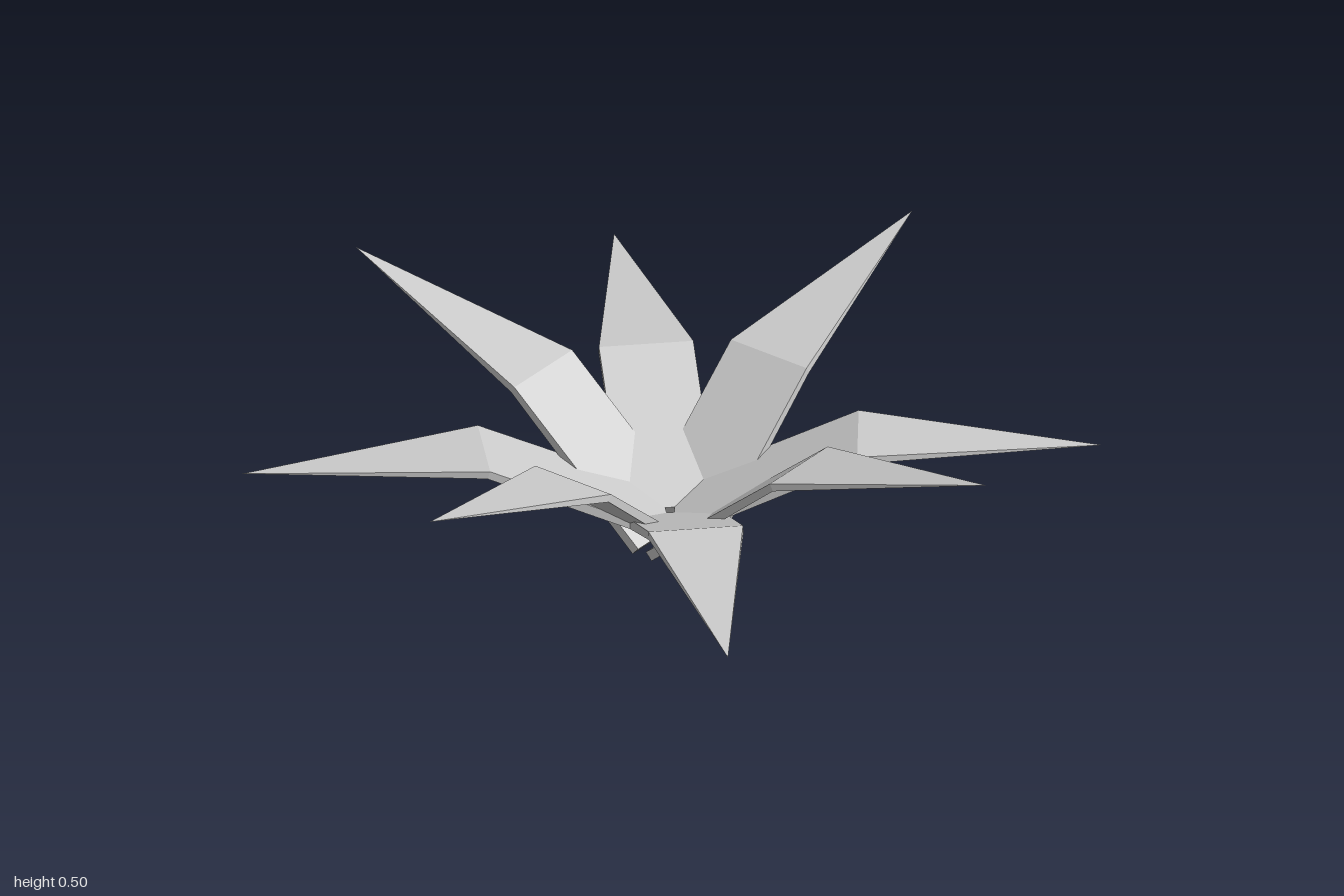
import * as THREE from 'three';

const material = new THREE.MeshStandardMaterial({ color: 0xcccccc, flatShading: true });
const HALF_WIDTH = 0.12;

// A bent, pointed leaf growing along +z. Each section is
// [bottom z, bottom y, top z, top y]; the last section closes on the tip.
function leafGeometry(base, fold, tip) {
  const positions = [];
  for (const [bz, by, tz, ty] of [base, fold]) {
    positions.push(
      -HALF_WIDTH, by, bz, HALF_WIDTH, by, bz,
      HALF_WIDTH, ty, tz, -HALF_WIDTH, ty, tz);
  }
  positions.push(0, tip[1], tip[0]);

  const index = [0, 3, 2, 0, 2, 1]; // base end
  for (let i = 0; i < 4; i++) {
    const j = (i + 1) % 4;
    index.push(i, j, j + 4, i, j + 4, i + 4); // stem section
    index.push(i + 4, j + 4, 8); // pointed section
  }
  const geometry = new THREE.BufferGeometry();
  geometry.setAttribute('position', new THREE.Float32BufferAttribute(positions, 3));
  geometry.setIndex(index);
  const flat = geometry.toNonIndexed();
  flat.computeVertexNormals();
  return flat;
}

export function createModel() {
  const group = new THREE.Group();
  group.name = 'leafRosette';

  const upper = leafGeometry([0.03, 0, 0.012, 0.02], [0.415, 0.335, 0.405, 0.353], [1, 0.5]);
  const lower = leafGeometry([0.025, 0.06, 0.013, 0.084], [0.482, 0.277, 0.475, 0.297], [1.09, 0.27]);

  const addLeaf = (name, geometry, degrees, x = 0, z = 0) => {
    const leaf = new THREE.Mesh(geometry, material);
    leaf.name = name;
    leaf.rotation.y = THREE.MathUtils.degToRad(degrees);
    leaf.position.set(x, 0, z);
    group.add(leaf);
  };

  // Four steep leaves on the axes
  ['Front', 'Left', 'Back', 'Right'].forEach((side, i) => addLeaf('upperLeaf' + side, upper, i * 90));

  // Four flatter leaves on the diagonals, one slightly askew
  addLeaf('lowerLeafFrontLeft', lower, 45);
  addLeaf('lowerLeafBackLeft', lower, 126.5, -0.016, -0.014);
  addLeaf('lowerLeafBackRight', lower, 225);
  addLeaf('lowerLeafFrontRight', lower, 315);

  return group;
}
